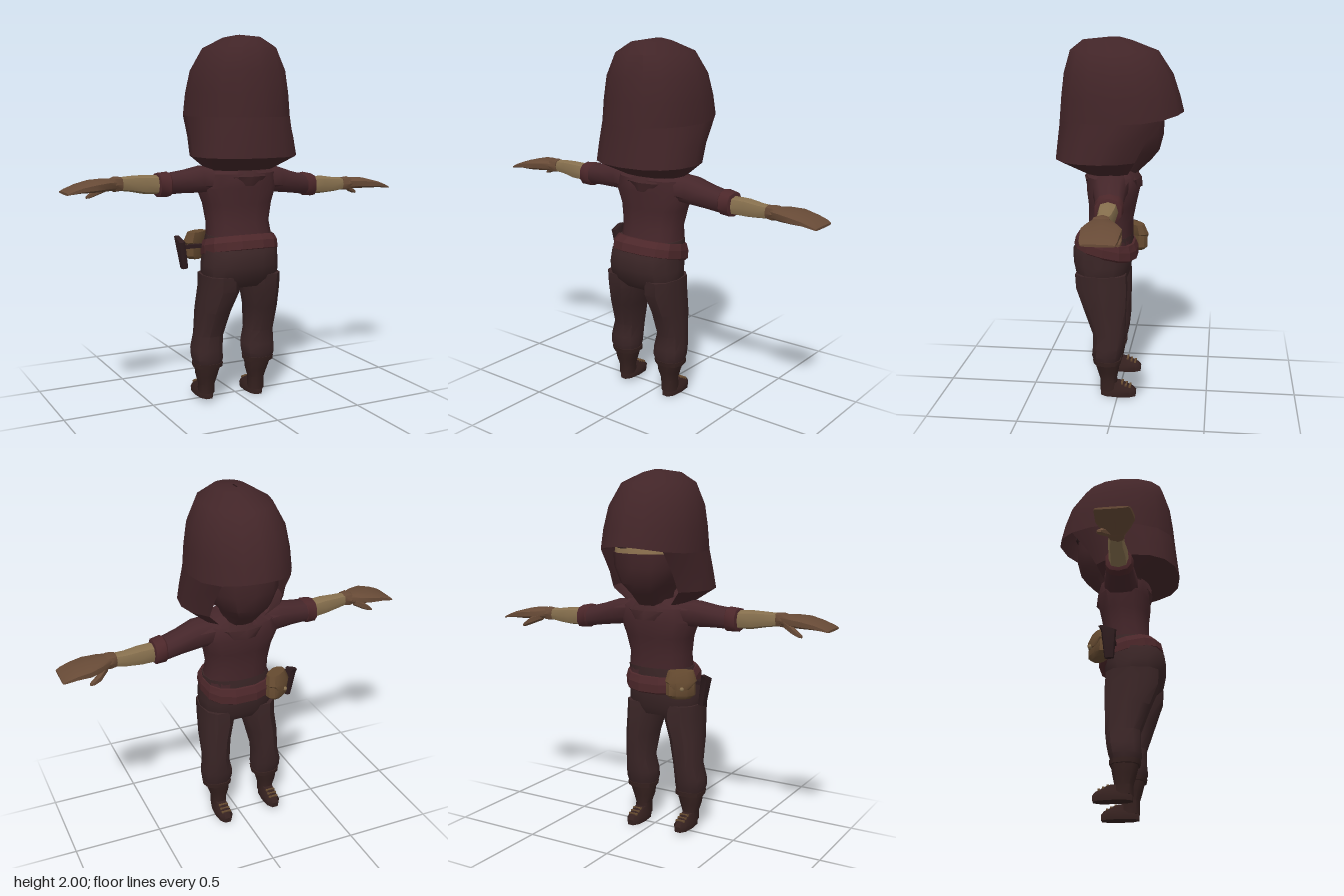
import * as THREE from 'three';
import { toCreasedNormals } from 'three/addons/utils/BufferGeometryUtils.js';

const mat = (name, color, side = THREE.FrontSide) => {
  const m = new THREE.MeshStandardMaterial({ color, side });
  m.name = name;
  return m;
};

// Builds a surface from rows of points; a closed row wraps around
function skin(rows, closed, caps, flip) {
  const n = rows[0].length, pos = [], idx = [];
  rows.forEach(r => r.forEach(p => pos.push(...p)));
  const tri = (a, b, c) => (flip ? idx.push(a, c, b) : idx.push(a, b, c));
  for (let j = 0; j < rows.length - 1; j++)
    for (let i = 0; i < (closed ? n : n - 1); i++) {
      const a = j * n + i, b = j * n + (i + 1) % n;
      tri(a, a + n, b);
      tri(b, a + n, b + n);
    }
  if (caps) [0, rows.length - 1].forEach((j, end) => {
    const c = pos.length / 3, r = rows[j];
    for (let k = 0; k < 3; k++) pos.push(r.reduce((s, p) => s + p[k], 0) / n);
    for (let i = 0; i < n; i++) {
      const a = j * n + i, b = j * n + (i + 1) % n;
      end ? tri(c, b, a) : tri(c, a, b);
    }
  });
  const g = new THREE.BufferGeometry();
  g.setAttribute('position', new THREE.Float32BufferAttribute(pos, 3));
  g.setIndex(idx);
  return toCreasedNormals(g, 0.75);
}

const pw = (v, p) => Math.sign(v) * Math.abs(v) ** p;

// Sections [height, xMin, xMax, zMin, zMax] stacked along y,
// or [x, yMin, yMax, zMin, zMax] stacked along x
function loft(axis, sections, n = 10, p = 0.8) {
  const rows = sections.map(([t, a0, a1, z0, z1]) => Array.from({ length: n }, (_, i) => {
    const w = (i / n) * Math.PI * 2;
    const a = (a0 + a1) / 2 + (a1 - a0) / 2 * pw(Math.cos(w), p);
    const z = (z0 + z1) / 2 + (z1 - z0) / 2 * pw(Math.sin(w), p);
    return axis === 'y' ? [a, t, z] : [t, a, z];
  }));
  const up = sections.at(-1)[0] > sections[0][0];
  return skin(rows, true, true, axis === 'y' ? !up : up);
}

export function createModel() {
  const root = new THREE.Group();
  root.name = 'hoodedFigure';
  const hoodCloth = mat('hoodMaroon', 0x422528, THREE.DoubleSide);
  const shirt = mat('shirtMaroon', 0x45262a);
  const trousers = mat('trouserBrown', 0x3a2526);
  const sash = mat('sashRed', 0x4c272a);
  const boot = mat('bootDark', 0x35211f);
  const wraps = mat('wrapTan', 0x87704e);
  const glove = mat('gloveBrown', 0x674a36);
  const leather = mat('leatherBrown', 0x654a30);
  const face = mat('skinTan', 0x8e7350);
  const dark = mat('darkCloth', 0x2e1c1e);

  const add = (name, geo, m, parent = root) => {
    const mesh = new THREE.Mesh(geo, m);
    mesh.name = name;
    parent.add(mesh);
    return mesh;
  };

  // Hood: crown rings are complete, lower rings leave the face open
  const COLS = 16;
  const hoodRing = (y, rx, z0, z1, peak = 0) => Array.from({ length: COLS + 1 }, (_, i) => {
    const w = (i / COLS) * Math.PI * 2, s = Math.sin(w), f = -Math.cos(w);
    const q = f > 0 ? 0.85 : 1.05;
    return [rx * pw(s, q), y + peak * Math.max(0, -f) ** 3, (z0 + z1) / 2 + (z1 - z0) / 2 * pw(f, q)];
  });
  const brim = hoodRing(1.57, 0.275, -0.345, 0.33, 0.04);
  const crown = [brim, hoodRing(1.69, 0.265, -0.325, 0.32), hoodRing(1.81, 0.245, -0.285, 0.305),
    hoodRing(1.93, 0.185, -0.205, 0.27), hoodRing(1.985, 0.09, -0.06, 0.2), hoodRing(2, 0.005, 0, 0.06)];
  const hood = new THREE.Group();
  hood.name = 'hood';
  root.add(hood);
  add('hoodCrown', skin(crown, false, false, true), hoodCloth, hood);
  const open = row => row.slice(2, COLS - 1);
  const rim = hoodRing(1.36, 0.29, -0.18, 0.35);
  add('hoodSides', skin([rim, hoodRing(1.46, 0.283, -0.24, 0.34), brim].map(open), false, false, true), hoodCloth, hood);
  add('hoodUnderside', skin([hoodRing(1.285, 0.19, -0.1, 0.19), rim].map(open), false, false, true), hoodCloth, hood);

  // Face: cloth mask below, bare strip with eyes above
  add('mask', loft('y', [[1.27, -0.08, 0.08, -0.09, 0.1], [1.345, -0.1, 0.1, -0.17, 0.12],
    [1.4, -0.15, 0.15, -0.215, 0.14], [1.49, -0.185, 0.185, -0.238, 0.16],
    [1.565, -0.19, 0.19, -0.24, 0.16]], 12), hoodCloth);
  add('faceStrip', loft('y', [[1.565, -0.183, 0.183, -0.232, 0.15], [1.65, -0.18, 0.18, -0.228, 0.15],
    [1.74, -0.14, 0.14, -0.19, 0.12]], 12), face);
  for (const s of [-1, 1]) {
    const eye = add('eye', new THREE.BoxGeometry(0.05, 0.025, 0.008), dark);
    eye.position.set(s * 0.065, 1.605, -0.231);
    eye.rotation.y = s * 0.1;
  }

  // Torso, collar and trousers seat
  add('torso', loft('y', [[0.88, -0.19, 0.18, -0.07, 0.2], [1.0, -0.19, 0.165, -0.07, 0.17],
    [1.1, -0.205, 0.185, -0.09, 0.17], [1.19, -0.24, 0.215, -0.11, 0.18],
    [1.265, -0.22, 0.2, -0.1, 0.18], [1.31, -0.12, 0.12, -0.06, 0.14]], 14), shirt);
  const collar = loft('y', [[1.2, -0.13, 0.13, -0.125, 0.185], [1.25, -0.19, 0.19, -0.12, 0.195],
    [1.3, -0.14, 0.14, -0.08, 0.16]], 12, 1);
  add('collar', collar, hoodCloth);
  add('trouserSeat', loft('y', [[0.655, -0.2, 0.16, -0.03, 0.2], [0.7, -0.235, 0.19, -0.055, 0.245],
    [0.77, -0.235, 0.19, -0.065, 0.26], [0.85, -0.22, 0.185, -0.075, 0.26],
    [0.93, -0.195, 0.18, -0.07, 0.2]], 14), trousers);

  // Sash: sits higher at the back than at the front
  const belt = loft('y', [[0.82, -0.2, 0.18, -0.08, 0.22], [0.835, -0.222, 0.195, -0.1, 0.255],
    [0.88, -0.222, 0.195, -0.1, 0.245], [0.915, -0.205, 0.185, -0.085, 0.21]], 14);
  const bp = belt.attributes.position;
  for (let i = 0; i < bp.count; i++) bp.setY(i, bp.getY(i) + 0.22 * (bp.getZ(i) - 0.08));
  belt.computeVertexNormals();
  add('sash', belt, sash);

  // Legs: left is +x, with slightly different stance on each side
  const legs = [
    { side: 'left', low: 0, top: [0.01, 0.195], mid: [0.035, 0.2], knee: [0.045, 0.195], calf: [0.022, 0.202], cuff: [0.035, 0.19], ankle: [0.06, 0.148] },
    { side: 'right', low: 0.02, top: [-0.245, -0.045], mid: [-0.26, -0.085], knee: [-0.265, -0.115], calf: [-0.288, -0.118], cuff: [-0.275, -0.125], ankle: [-0.248, -0.162] },
  ];
  for (const { side, low, top, mid, knee, calf, cuff, ankle } of legs) {
    const leg = new THREE.Group();
    leg.name = side + 'Leg';
    root.add(leg);
    add('trouserLeg', loft('y', [[0.21, ...cuff, -0.01, 0.13], [0.25, ...calf, -0.025, 0.145],
      [0.3, ...calf, -0.035, 0.14], [0.38, ...knee, -0.045, 0.14], [0.52, ...mid, -0.05, 0.19],
      [0.64, ...top, -0.055, 0.235], [0.72, ...top, -0.05, 0.24]], 10), trousers, leg);
    add('bootBand', loft('y', [[0.2, cuff[0] - 0.006, cuff[1] + 0.006, -0.02, 0.135],
      [0.225, cuff[0] - 0.008, cuff[1] + 0.008, -0.022, 0.14]], 10), boot, leg);
    add('bootShaft', loft('y', [[low + 0.03, ...ankle, -0.0, 0.1], [0.1, ...ankle, 0.005, 0.1],
      [0.15, ankle[0] - 0.015, ankle[1] + 0.015, -0.005, 0.115],
      [0.21, cuff[0] + 0.005, cuff[1] - 0.005, -0.015, 0.128]], 10), boot, leg);
    add('foot', loft('y', [[low, ankle[0], ankle[1], -0.105, 0.1], [low + 0.03, ankle[0] - 0.004, ankle[1] + 0.004, -0.107, 0.1],
      [low + 0.05, ankle[0] + 0.006, ankle[1] - 0.006, -0.09, 0.09],
      [low + 0.08, ankle[0] + 0.012, ankle[1] - 0.012, -0.03, 0.08]], 10), boot, leg);
    // Laces over the instep
    for (let i = 0; i < 3; i++) {
      const lace = add('lace', new THREE.BoxGeometry(0.055, 0.009, 0.012), leather, leg);
      lace.position.set((ankle[0] + ankle[1]) / 2, low + 0.077 - i * 0.01, -0.025 - i * 0.022);
    }
  }

  // Arms: dy and dz shift each hanging arm, s mirrors it
  const arms = [
    { side: 'left', s: 1, dy: -0.035, z: [0.03, 0.005, 0, 0.005, -0.012] },
    { side: 'right', s: -1, dy: 0.035, z: [0.04, 0.06, 0.068, 0.08, 0.09] },
  ];
  for (const { side, s, dy, z } of arms) {
    const arm = new THREE.Group();
    arm.name = side + 'Arm';
    root.add(arm);
    const sec = (x, y, h, zc, d) => [s * x, y - h, y + h, zc - d, zc + d];
    const [z0, z1, z2, z3, z4] = z;
    add('sleeve', loft('x', [sec(0.12, 1.225, 0.07, z0, 0.1), sec(0.24, 1.225 + dy * 0.3, 0.073, z0, 0.09),
      sec(0.34, 1.21 + dy * 0.5, 0.062, (z0 + z1) / 2, 0.077), sec(0.45, 1.195 + dy * 0.7, 0.056, z1, 0.07)], 10), shirt, arm);
    add('sleeveCuff', loft('x', [sec(0.42, 1.198 + dy * 0.6, 0.058, z1, 0.066), sec(0.43, 1.198 + dy * 0.6, 0.067, z1, 0.075),
      sec(0.485, 1.193 + dy * 0.7, 0.064, z1, 0.07), sec(0.49, 1.193 + dy * 0.7, 0.05, z1, 0.055)], 10), sash, arm);
    add('forearm', loft('x', [sec(0.47, 1.193 + dy * 0.75, 0.05, z1, 0.052), sec(0.56, 1.195 + dy * 0.85, 0.05, z2, 0.05),
      sec(0.64, 1.197 + dy, 0.041, z2, 0.042), sec(0.72, 1.2 + dy, 0.033, z3, 0.036)], 8), wraps, arm);
    add('gloveCuff', loft('x', [sec(0.69, 1.2 + dy, 0.036, z3, 0.04), sec(0.73, 1.2 + dy, 0.04, z3, 0.052),
      sec(0.75, 1.2 + dy, 0.03, z3, 0.05)], 8), glove, arm);
    add('hand', loft('x', [sec(0.72, 1.2 + dy, 0.03, z3, 0.045), sec(0.78, 1.2 + dy, 0.032, (z3 + z4) / 2, 0.075),
      sec(0.85, 1.197 + dy, 0.029, z4, 0.099), sec(0.92, 1.188 + dy, 0.02, z4, 0.094),
      sec(0.97, 1.176 + dy, 0.012, z4, 0.09), sec(0.993, 1.168 + dy, 0.006, z4, 0.082)], 10, 0.65), glove, arm);
    add('thumb', loft('x', [sec(0.75, 1.185 + dy, 0.022, z3 - 0.04, 0.02), sec(0.8, 1.162 + dy, 0.022, z4 - 0.07, 0.022),
      sec(0.835, 1.142 + dy, 0.015, z4 - 0.075, 0.018), sec(0.855, 1.132 + dy, 0.007, z4 - 0.075, 0.01)], 6), glove, arm);
  }

  // Belt pouch with a flap, turned toward the corner of the hip
  const pouch = new THREE.Group();
  pouch.name = 'beltPouch';
  pouch.position.set(-0.2, 0.86, -0.065);
  pouch.rotation.y = 0.6;
  root.add(pouch);
  add('pouchBody', loft('y', [[-0.075, -0.055, 0.055, -0.045, 0.025], [-0.055, -0.08, 0.08, -0.06, 0.03],
    [0.02, -0.08, 0.08, -0.058, 0.03], [0.07, -0.065, 0.065, -0.035, 0.03]], 10), leather, pouch);
  add('pouchFlap', loft('y', [[-0.02, -0.05, 0.05, -0.068, 0.02], [0.02, -0.086, 0.086, -0.066, 0.032],
    [0.075, -0.07, 0.07, -0.042, 0.032]], 10), leather, pouch);
  add('pouchButton', new THREE.SphereGeometry(0.012, 8, 6), wraps, pouch).position.set(0, -0.015, -0.068);

  // Sheath hanging outside the pouch
  const sheath = add('sheath', loft('y', [[-0.09, -0.018, 0.018, -0.025, 0.025], [0.06, -0.02, 0.02, -0.04, 0.04],
    [0.085, -0.012, 0.012, -0.055, -0.02]], 8, 0.6), dark);
  sheath.position.set(-0.318, 0.835, -0.01);
  sheath.rotation.z = 0.16;
  const strap = add('sheathStrap', new THREE.BoxGeometry(0.12, 0.02, 0.03), dark);
  strap.position.set(-0.265, 0.865, 0);

  return root;
}
